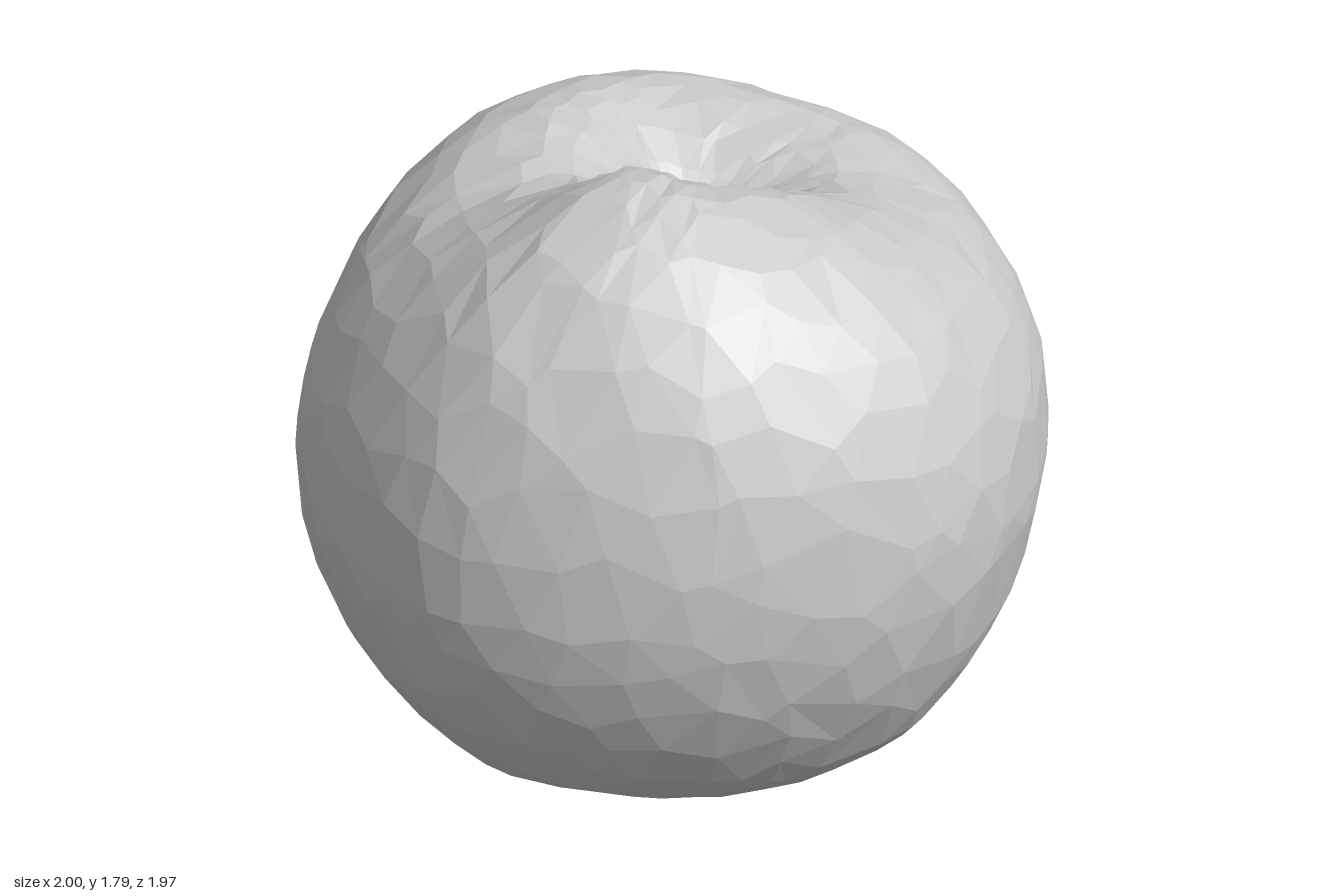
import * as THREE from 'three';

const SEG = 40;

// Small seeded generator for the irregular facets
function seeded(seed) {
  return () => {
    seed = (seed * 16807) % 2147483647;
    return seed / 2147483647 - 0.5;
  };
}

// Closed loop through eight points, from +x round through +z
const loop = (points) => new THREE.CatmullRomCurve3(points.map((p) => new THREE.Vector3(...p)), true);

// Uneven rim around the stem hollow
const rim = loop([
  [0.61, 1.48, -0.07], [0.46, 1.485, 0.17], [0.13, 1.65, 0.3], [-0.18, 1.765, 0.22],
  [-0.25, 1.785, 0.04], [-0.14, 1.585, -0.27], [0.11, 1.595, -0.49], [0.42, 1.535, -0.48],
]);

// Widest line of the fruit, a little flattened at the front right corner
const waistLine = loop([
  [1, 0.96, 0], [0.69, 0.92, 0.69], [0, 0.86, 0.985], [-0.67, 0.84, 0.67],
  [-1, 0.79, 0], [-0.705, 0.83, -0.705], [0, 0.87, -0.985], [0.695, 0.93, -0.695],
]);

// Slightly uneven ring the fruit stands on
const footLine = loop([
  [0.37, 0.004, 0], [0.28, 0.01, 0.24], [0.02, 0.014, 0.37], [-0.27, 0.032, 0.26],
  [-0.38, 0.025, 0], [-0.26, 0.03, -0.27], [0.02, 0.008, -0.35], [0.28, 0.004, -0.27],
]);

const pit = new THREE.Vector3(0.15, 1.21, -0.13);
const base = new THREE.Vector3(0.02, 0.035, -0.01);

// Quarter-ellipse sweep: leaves a upright and arrives at b level
function arc(a, b, t, power = 1) {
  const s = Math.sin(t * Math.PI / 2) ** power;
  const c = Math.cos(t * Math.PI / 2) ** power;
  return new THREE.Vector3(b.x + (a.x - b.x) * c, a.y + (b.y - a.y) * s, b.z + (a.z - b.z) * c);
}

// Point on the skin: u goes round, v climbs base > foot > waist > rim > pit
function skin(u, v) {
  const turn = ((u % 1) + 1) % 1;
  const dx = Math.cos(turn * Math.PI * 2), dz = Math.sin(turn * Math.PI * 2);
  const foot = footLine.getPoint(turn);
  const waist = waistLine.getPoint(turn);
  const top = rim.getPoint(turn);
  if (v < 1) return base.clone().lerp(foot, v);
  if (v < 2) return arc(waist, foot, 2 - v, 1.05);
  if (v < 3) return arc(waist, top, v - 2, 1 - 0.05 * dx - 0.04 * dz * dz);
  return arc(pit, top, 4 - v, 1.2);
}

function createSkinGeometry() {
  const random = seeded(41);
  const levels = [];
  const addLevels = (from, count) => {
    for (let i = 0; i < count; i++) levels.push(from + i / count);
  };
  addLevels(0, 3);
  addLevels(1, 8);
  addLevels(2, 8);
  addLevels(3, 7);
  levels.shift();

  // Staggered rings with a little unevenness
  const positions = [...base.toArray()];
  levels.forEach((v, row) => {
    const loose = v > 1.1 && v < 3.3 ? 1 : 0.3;
    for (let i = 0; i < SEG; i++) {
      const u = (i + (row % 2) / 2 + random() * 0.75 * loose) / SEG;
      const p = skin(u, v + random() * 0.09 * loose);
      p.y += random() * 0.012 * loose;
      positions.push(p.x, Math.max(p.y, 0), p.z);
    }
  });
  positions.push(...pit.toArray());

  const index = [];
  const at = (row, i) => 1 + row * SEG + (i % SEG);
  const last = 1 + levels.length * SEG;
  for (let i = 0; i < SEG; i++) {
    index.push(0, at(0, i), at(0, i + 1));
    index.push(last, at(levels.length - 1, i + 1), at(levels.length - 1, i));
    for (let row = 0; row < levels.length - 1; row++) {
      const a = at(row, i), b = at(row, i + 1), c = at(row + 1, i), d = at(row + 1, i + 1);
      if (row % 2) index.push(a, d, b, a, c, d);
      else index.push(a, c, b, b, c, d);
    }
  }
  const geometry = new THREE.BufferGeometry();
  geometry.setAttribute('position', new THREE.Float32BufferAttribute(positions, 3));
  geometry.setIndex(index);
  geometry.computeVertexNormals();
  return geometry;
}

export function createModel() {
  const group = new THREE.Group();
  group.name = 'apple';
  const material = new THREE.MeshStandardMaterial({ color: 0xcccccc, flatShading: true });
  const body = new THREE.Mesh(createSkinGeometry(), material);
  body.name = 'appleBody';
  group.add(body);
  return group;
}
